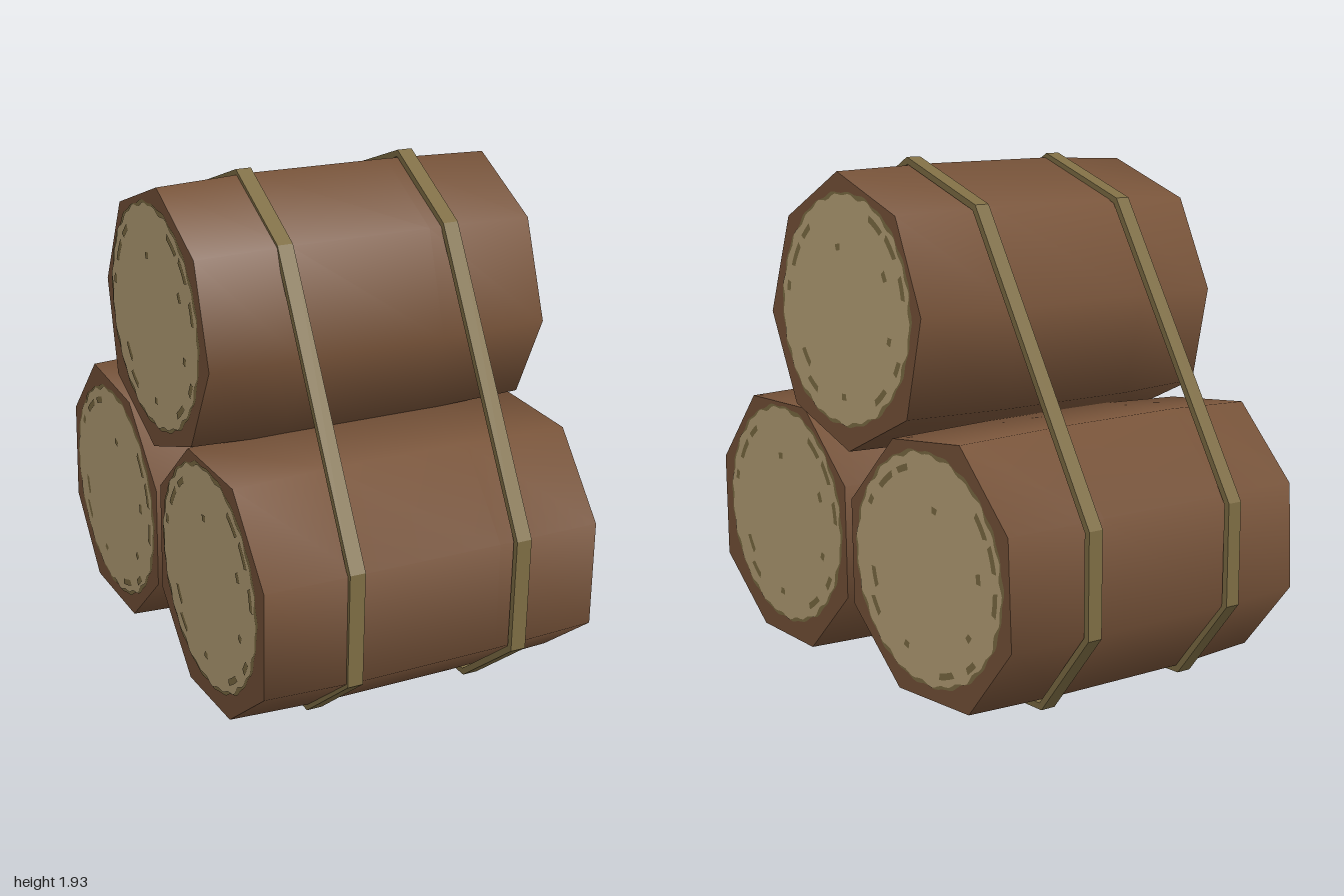
import * as THREE from 'three';

const mat = (name, color, extra = {}) => {
  const m = new THREE.MeshStandardMaterial({ color, ...extra });
  m.name = name;
  return m;
};

// Each log: octagon corners as [z, y], disc centre, turn of the grain marks, tilt of the cut end
const LOGS = [
  { name: 'topLog', c: [0.01, 1.395], turn: 0, endX: (y) => 0.673 - 0.025 * (y - 1.39),
    pts: [[0.07, 1.91], [0.415, 1.72], [0.535, 1.335], [0.35, 0.99], [-0.03, 0.86], [-0.41, 1.04], [-0.49, 1.42], [-0.32, 1.77]] },
  { name: 'frontLog', c: [0.47, 0.54], turn: -0.1, endX: (y, z) => 0.677 - 0.022 * z,
    pts: [[0.71, 0.99], [0.97, 0.69], [0.96, 0.27], [0.65, 0.035], [0.27, 0.03], [-0.005, 0.3], [0.005, 0.74], [0.3, 1.0]] },
  { name: 'backLog', c: [-0.485, 0.525], turn: -0.4, endX: (y, z) => 0.677 + 0.03 * z,
    pts: [[-0.28, 0.98], [-0.01, 0.7], [-0.02, 0.29], [-0.31, 0.03], [-0.73, 0.04], [-0.97, 0.33], [-0.95, 0.74], [-0.68, 1.02]] },
];

// Grain marks on a cut end: [angle in degrees, radius, length]
const MARKS = [[58, 0.38, 0.1], [40, 0.39, 0.1], [17, 0.39, 0.09], [134, 0.37, 0.07], [152, 0.37, 0.1],
  [172, 0.38, 0.04], [219, 0.32, 0.08], [236, 0.36, 0.08], [272, 0.32, 0.03], [311, 0.38, 0.09],
  [334, 0.39, 0.06], [29, 0.3, 0.04], [100, 0.23, 0.03], [345, 0.31, 0.03]];

const BACK_X = -0.682;

// Rope outline around the stack as [z, y]
const ROPE = [[0.07, 1.935], [0.425, 1.735], [1.0, 0.7], [0.985, 0.26], [0.655, 0.005],
  [-0.745, 0.012], [-1.0, 0.33], [-1.0, 0.72], [-0.355, 1.785]];

// Flat shape laid on the front (s = 1) or back (s = -1) cut end
function endPlate(shape, log, s, lift) {
  const g = new THREE.ShapeGeometry(shape);
  const p = g.attributes.position;
  for (let i = 0; i < p.count; i++) {
    const z = -s * p.getX(i), y = p.getY(i);
    p.setXYZ(i, s > 0 ? log.endX(y, z) + lift : BACK_X - lift, y, z);
  }
  g.computeVertexNormals();
  return g;
}

// Points of the log's octagon, shrunk about its own middle
function section(log, k) {
  const n = log.pts.length;
  const mz = log.pts.reduce((a, p) => a + p[0], 0) / n;
  const my = log.pts.reduce((a, p) => a + p[1], 0) / n;
  return log.pts.map(([z, y]) => [mz + (z - mz) * k, my + (y - my) * k]);
}

// Smooth bark running through four cross-sections
function barkGeometry(log) {
  const rings = [[BACK_X, 0.97], [-0.32, 1], [0.24, 0.995], [null, 0.97]];
  const pos = [], idx = [], n = log.pts.length;
  rings.forEach(([x, k], i) => {
    section(log, k).forEach(([z, y], j) => {
      pos.push(x === null ? log.endX(y, z) : x, y, z);
      if (i < rings.length - 1) {
        const a = i * n + j, d = i * n + (j + 1) % n;
        idx.push(a, d, d + n, a, d + n, a + n);
      }
    });
  });
  const g = new THREE.BufferGeometry();
  g.setAttribute('position', new THREE.Float32BufferAttribute(pos, 3));
  g.setIndex(idx);
  g.computeVertexNormals();
  return g;
}

// Disc with an uneven, scalloped edge
function wavyDisc(cu, cy, r, wobble, phase) {
  const pts = [];
  for (let i = 0; i < 120; i++) {
    const a = (i / 120) * Math.PI * 2;
    const rr = r + wobble * (Math.sin(a * 25 + phase) + 0.6 * Math.sin(a * 14 + 2 * phase));
    pts.push(new THREE.Vector2(cu + Math.cos(a) * rr, cy + Math.sin(a) * rr));
  }
  return new THREE.Shape(pts);
}

// Short curved dash following the growth rings
function dash(cu, cy, angle, r, length) {
  const half = length / r / 2, w = 0.012;
  const s = new THREE.Shape();
  s.absarc(cu, cy, r + w, angle - half, angle + half, false);
  s.absarc(cu, cy, r - w, angle + half * 0.85, angle - half * 0.85, true);
  return s;
}

// Convex outline moved inward by t, keeping its corners sharp
function inset(pts, t) {
  return pts.map((p, i) => {
    const a = pts[(i + pts.length - 1) % pts.length], b = pts[(i + 1) % pts.length];
    const d1 = p.clone().sub(a).normalize(), d2 = b.clone().sub(p).normalize();
    const n1 = new THREE.Vector2(-d1.y, d1.x), n2 = new THREE.Vector2(-d2.y, d2.x);
    const m = n1.clone().add(n2).normalize();
    return p.clone().addScaledVector(m, t / m.dot(n1));
  });
}

function ropeGeometry() {
  const outer = ROPE.map(([z, y]) => new THREE.Vector2(-z, y));
  const shape = new THREE.Shape(outer);
  shape.holes.push(new THREE.Path(inset(outer, 0.024)));
  const g = new THREE.ExtrudeGeometry(shape, { depth: 0.06, bevelEnabled: false });
  g.translate(0, 0, -0.03);
  g.rotateY(Math.PI / 2);
  return g;
}

export function createModel() {
  const bark = mat('bark brown', 0x775339);
  const wood = mat('cut wood cream', 0xb8a278);
  const olive = mat('rope olive', 0x7e6d44);

  const model = new THREE.Group();
  model.name = 'logStack';
  const add = (parent, name, geometry, material) => {
    const mesh = new THREE.Mesh(geometry, material);
    mesh.name = name;
    parent.add(mesh);
    return mesh;
  };

  // Logs with both cut ends
  for (const log of LOGS) {
    const group = new THREE.Group();
    group.name = log.name;
    model.add(group);
    add(group, 'bark', barkGeometry(log), bark);
    for (const s of [1, -1]) {
      const cu = -s * log.c[0], cy = log.c[1];
      const rim = new THREE.Shape(section(log, 0.97).map(([z, y]) => new THREE.Vector2(-s * z, y)));
      add(group, 'barkRim', endPlate(rim, log, s, 0), bark);
      add(group, 'ringEdge', endPlate(wavyDisc(cu, cy, 0.428, 0.004, 1 + log.turn), log, s, 0.002), olive);
      add(group, 'cutWood', endPlate(wavyDisc(cu, cy, 0.418, 0.006, 2 + log.turn), log, s, 0.004), wood);
      const marks = MARKS.map(([a, r, l]) => dash(cu, cy, THREE.MathUtils.degToRad(a) + log.turn, r, l));
      add(group, 'grainMarks', endPlate(marks, log, s, 0.006), olive);
    }
  }

  // Two ropes binding the stack
  const rope = ropeGeometry();
  add(model, 'frontRope', rope, olive).position.x = 0.32;
  const second = add(model, 'backRope', rope, olive);
  second.position.set(-0.34, 0.004, -0.006);
  second.scale.set(1, 0.994, 0.99);
  return model;
}
